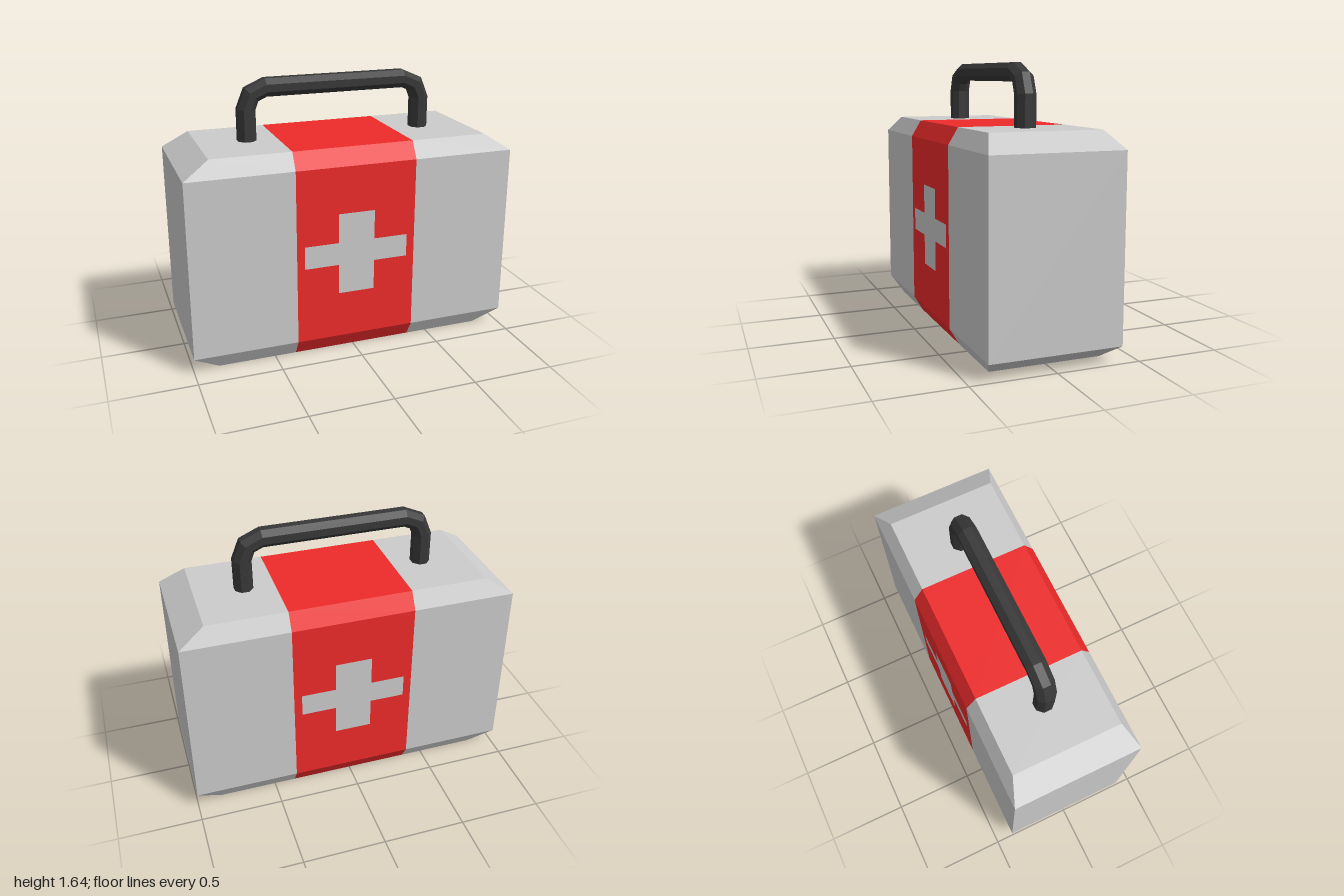
import * as THREE from 'three';

const BAND = 0.37, DEPTH = 0.393;
// Chamfered side profile as [y, z]: down the front, under, up the back
const PROFILE = [
  [1.275, 0.333], [1.175, DEPTH], [0.1, DEPTH], [0, 0.333],
  [0, -0.333], [0.1, -DEPTH], [1.175, -DEPTH], [1.275, -0.333],
];

const material = (color) => new THREE.MeshStandardMaterial({ color, flatShading: true });

function quadGeometry(quads) {
  const pos = quads.flatMap(([a, b, c, d]) => [a, b, c, a, c, d]).flat();
  const geo = new THREE.BufferGeometry();
  geo.setAttribute('position', new THREE.Float32BufferAttribute(pos, 3));
  geo.computeVertexNormals();
  return geo;
}

// Quads between successive closed rings
function loft(rings) {
  const quads = [];
  for (let i = 0; i < rings.length - 1; i++) {
    const r = rings[i], s = rings[i + 1], n = r.length;
    for (let j = 0; j < n; j++) quads.push([r[j], r[(j + 1) % n], s[(j + 1) % n], s[j]]);
  }
  return quads;
}

function add(parent, name, geo, mat, turn = 0) {
  const mesh = new THREE.Mesh(geo, mat);
  mesh.name = name;
  mesh.rotation.y = turn;
  parent.add(mesh);
}

export function createModel() {
  const group = new THREE.Group();
  group.name = 'firstAidCase';
  const grey = material(0xcccccc), red = material(0xee2b2b), dark = material(0x383838);
  const ring = (x) => PROFILE.map(([y, z]) => [x, y, z]);

  // Grey case ends, chamfered on the top and bottom edges
  const outer = PROFILE.map(([y, z]) => [Math.abs(z) < DEPTH ? 0.845 : 1, y, z]);
  const caps = [[1, 6, 7, 0], [2, 5, 6, 1], [3, 4, 5, 2]].map((f) => f.map((i) => outer[i]));
  const endGeo = quadGeometry([...loft([ring(BAND), outer]), ...caps]);
  add(group, 'leftCaseEnd', endGeo, grey);
  add(group, 'rightCaseEnd', endGeo, grey, Math.PI);

  // Red band around the middle; its two upright panels are cut out below
  const bandQuads = loft([ring(-BAND), ring(BAND)]).filter((_, j) => j !== 1 && j !== 5);
  add(group, 'redBand', quadGeometry(bandQuads), red);

  // Upright panels with a flush grey cross
  const points = (list) => list.map(([x, y]) => new THREE.Vector2(x, y));
  const w = 0.322, v = 0.112, y0 = 0.385, y1 = 0.57, y2 = 0.71, y3 = 0.89;
  const cross = points([
    [-v, y0], [v, y0], [v, y1], [w, y1], [w, y2], [v, y2],
    [v, y3], [-v, y3], [-v, y2], [-w, y2], [-w, y1], [-v, y1],
  ]);
  const panel = new THREE.Shape(points([[-BAND, 0.1], [BAND, 0.1], [BAND, 1.175], [-BAND, 1.175]]));
  panel.holes.push(new THREE.Path(cross));
  const panelGeo = new THREE.ShapeGeometry(panel).translate(0, 0, DEPTH);
  const crossGeo = new THREE.ShapeGeometry(new THREE.Shape(cross)).translate(0, 0, DEPTH);
  for (const [side, turn] of [['front', 0], ['back', Math.PI]]) {
    add(group, side + 'Panel', panelGeo, red, turn);
    add(group, side + 'Cross', crossGeo, grey, turn);
  }

  // Octagonal carrying handle: [outer x, outer y, inner x, inner y] at each bend
  const half = [
    [0.606, 1.265, 0.498, 1.265],
    [0.606, 1.465, 0.498, 1.458],
    [0.557, 1.585, 0.479, 1.507],
    [0.437, 1.638, 0.428, 1.53],
  ];
  const stations = [
    ...half.map(([a, b, c, d]) => [-a, b, -c, d]),
    ...half.slice().reverse(),
  ];
  const handleRings = stations.map(([ox, oy, ix, iy]) =>
    Array.from({ length: 8 }, (_, k) => {
      const angle = (k + 0.5) * Math.PI / 4, s = 1 / Math.cos(Math.PI / 8);
      const t = 0.5 + 0.5 * s * Math.cos(angle);
      return [ix + (ox - ix) * t, iy + (oy - iy) * t, 0.058 * s * Math.sin(angle)];
    }));
  add(group, 'handle', quadGeometry(loft(handleRings)), dark);

  return group;
}
